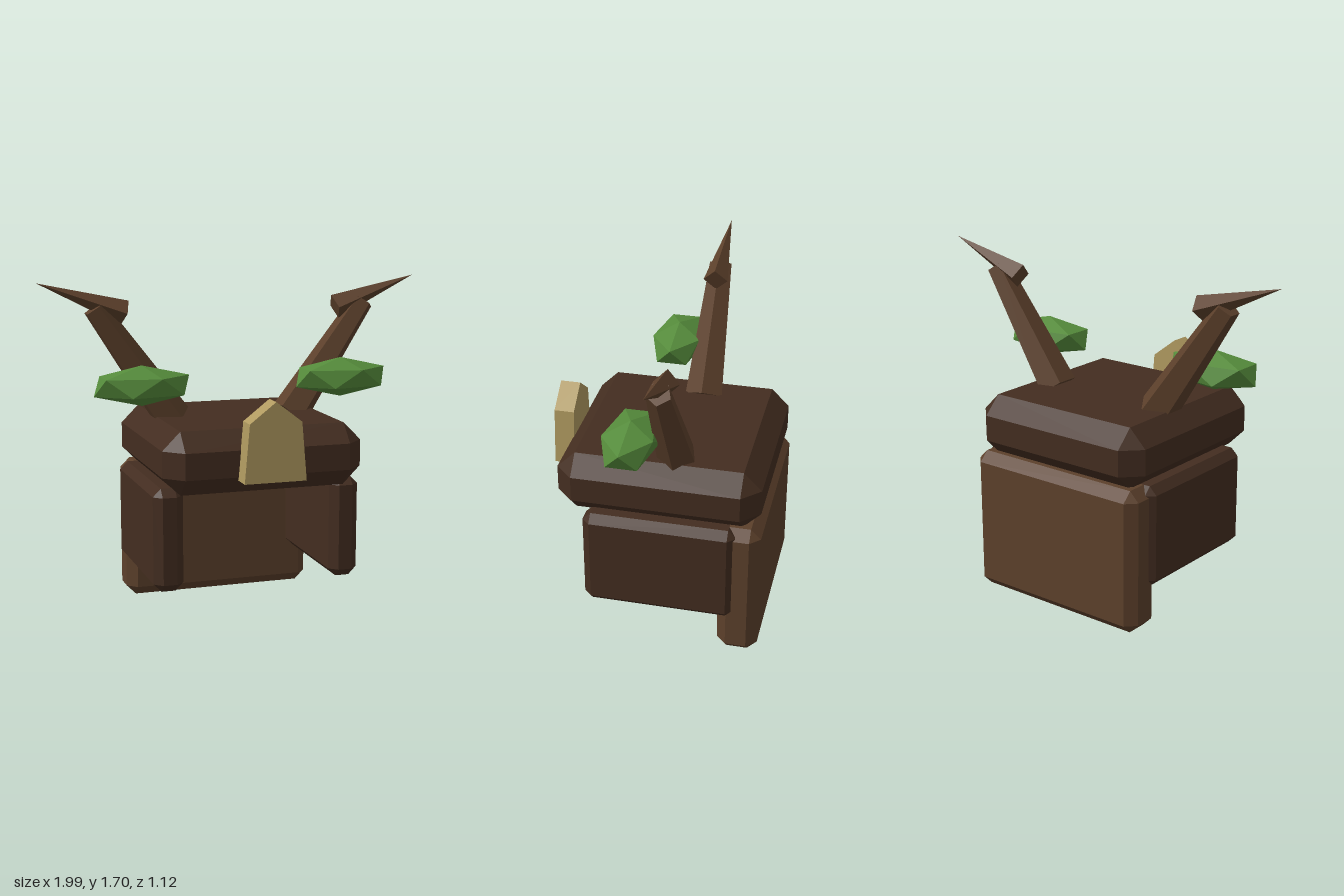
import * as THREE from 'three';
import { ConvexGeometry } from 'three/addons/geometries/ConvexGeometry.js';

const material = (color) => new THREE.MeshStandardMaterial({ color, flatShading: true });

// Box between two corners with every edge cut at 45 degrees
function chamferedBox(min, max, c) {
  const centre = min.map((v, i) => (v + max[i]) / 2);
  const half = min.map((v, i) => (max[i] - v) / 2);
  const points = [];
  for (const sx of [-1, 1]) for (const sy of [-1, 1]) for (const sz of [-1, 1]) {
    const s = [sx, sy, sz];
    for (let outer = 0; outer < 3; outer++) {
      points.push(new THREE.Vector3(...s.map((sign, i) =>
        centre[i] + sign * (half[i] - (i === outer ? 0 : c)))));
    }
  }
  return new ConvexGeometry(points);
}

export function createModel() {
  const group = new THREE.Group();
  const darkWood = material(0x432d20);
  const wood = material(0x5c402b);
  const bone = material(0xb09a60);
  const green = material(0x558b3b);

  function add(name, geometry, mat, x = 0, y = 0, z = 0, tilt = 0) {
    const mesh = new THREE.Mesh(geometry, mat);
    mesh.name = name;
    mesh.position.set(x, y, z);
    mesh.rotation.z = tilt;
    group.add(mesh);
  }

  // Helmet shell: thick cap, back guard
  add('cap', chamferedBox([-0.505, 0.71, -0.545], [0.505, 1.02, 0.465], 0.09), darkWood);
  add('backGuard', chamferedBox([-0.505, 0, -0.555], [0.505, 0.73, -0.35], 0.05), wood);

  // Front crest plate with a pointed top
  const crest = new THREE.Shape([[-0.155, 0.785], [0.155, 0.785], [0.13, 1.07], [0, 1.17], [-0.13, 1.07]]
    .map(([x, y]) => new THREE.Vector2(x, y)));
  add('crest', new THREE.ExtrudeGeometry(crest, { depth: 0.1, bevelEnabled: false }), bone, 0, 0, 0.46);

  // Five-sided branch, four-sided tip, and leaf with one corner pointing up
  const branch = new THREE.CylinderGeometry(0.06, 0.1, 0.695, 5, 1, false, Math.PI / 2);
  const tip = new THREE.ConeGeometry(0.063, 0.463, 4);
  const leaf = new THREE.IcosahedronGeometry(1, 0);
  leaf.rotateZ(-Math.atan(2 / (1 + Math.sqrt(5))));
  leaf.scale(0.268, 0.1, 0.145);

  for (const [side, s] of [['left', 1], ['right', -1]]) {
    const x = [0.38 * s, 0.53 * s].sort((a, b) => a - b);
    add(side + 'CheekGuard', chamferedBox([x[0], 0.215, -0.44], [x[1], 0.73, 0.325], 0.04), darkWood);
    add(side + 'Branch', branch, wood, 0.516 * s, 1.282, -0.115, -0.605 * s);
    add(side + 'BranchTip', tip, wood, 0.777 * s, 1.618, -0.115, -1.23 * s);
    add(side + 'Leaf', leaf, green, 0.521 * s, 1.2, 0.065);
  }
  return group;
}
